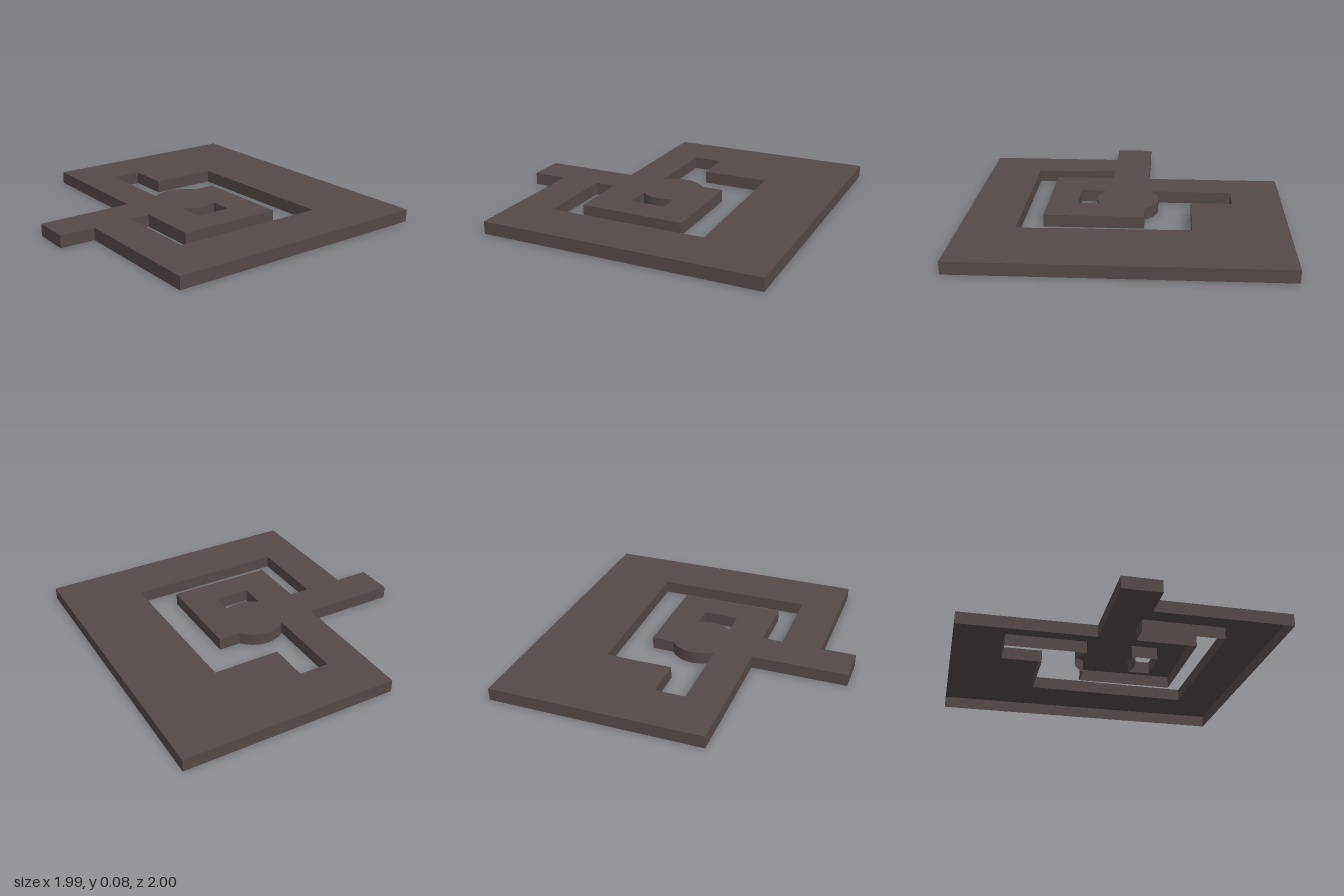
import * as THREE from 'three';

const HEIGHT = 0.08;
const HUB_X = -0.005, HUB_R = 0.2;

// Plan coordinates are [x, z]; the shape plane uses y = -z.
const addLines = (path, points) => points.forEach(([x, z]) => path.lineTo(x, -z));

function outline() {
  const s = new THREE.Shape();
  s.moveTo(-0.38, 1);
  addLines(s, [[-0.38, -0.125], [-0.995, -0.125], [-0.995, 0.12], [-0.77, 0.12],
    [-0.77, 1], [0.995, 1], [0.995, -1]]);
  s.closePath();
  return s;
}

// Spiral slot that runs around the central block and past the round hub
function spiralSlot() {
  const p = new THREE.Path();
  p.moveTo(-0.14, 0.677);
  addLines(p, [[0.055, -0.677], [0.055, -0.412], [0.49, -0.412], [0.507, 0.655],
    [-0.513, 0.655], [-0.513, 0.12], [-0.38, 0.12], [-0.38, 0.51],
    [0.3, 0.516], [0.3, -0.117]]);
  p.absarc(HUB_X, 0, HUB_R, Math.asin(0.117 / HUB_R), Math.acos(-0.135 / HUB_R), false);
  p.closePath();
  return p;
}

// Small window in front of the hub
function hubWindow() {
  const p = new THREE.Path();
  p.absarc(HUB_X, 0, HUB_R, -Math.acos(-0.135 / HUB_R), -Math.acos(0.095 / HUB_R), false);
  addLines(p, [[0.09, 0.32], [-0.14, 0.318]]);
  p.closePath();
  return p;
}

// Upright wall that follows a closed plan path, facing right of its direction
function wallGeometry(path) {
  const points = path.getPoints(20);
  const positions = [];
  for (let i = 0; i < points.length; i++) {
    const a = points[i], b = points[(i + 1) % points.length];
    if (a.distanceTo(b) < 1e-6) continue;
    const a0 = [a.x, 0, -a.y], a1 = [a.x, HEIGHT, -a.y];
    const b0 = [b.x, 0, -b.y], b1 = [b.x, HEIGHT, -b.y];
    positions.push(...a0, ...b0, ...b1, ...a0, ...b1, ...a1);
  }
  const g = new THREE.BufferGeometry();
  g.setAttribute('position', new THREE.Float32BufferAttribute(positions, 3));
  g.computeVertexNormals();
  return g;
}

export function createModel() {
  const group = new THREE.Group();
  group.name = 'slottedPlate';
  const darkMetal = new THREE.MeshStandardMaterial({ color: 0x544a49, side: THREE.DoubleSide });
  darkMetal.name = 'dark metal';
  const add = (name, geometry) => {
    const mesh = new THREE.Mesh(geometry, darkMetal);
    mesh.name = name;
    group.add(mesh);
  };

  const shape = outline(), slot = spiralSlot(), opening = hubWindow();
  shape.holes.push(slot, opening);

  // Top sheet of the shell, which is open underneath
  add('topSheet', new THREE.ShapeGeometry(shape, 20)
    .rotateX(-Math.PI / 2).translate(0, HEIGHT, 0));

  // Walls around the rim and the openings
  add('outerWall', wallGeometry(shape));
  add('slotWall', wallGeometry(slot));
  add('windowWall', wallGeometry(opening));

  // The end of the side tab is closed underneath
  add('tabFloor', new THREE.PlaneGeometry(0.225, 0.245)
    .rotateX(Math.PI / 2).translate(-0.8825, 0, -0.0025));
  return group;
}
